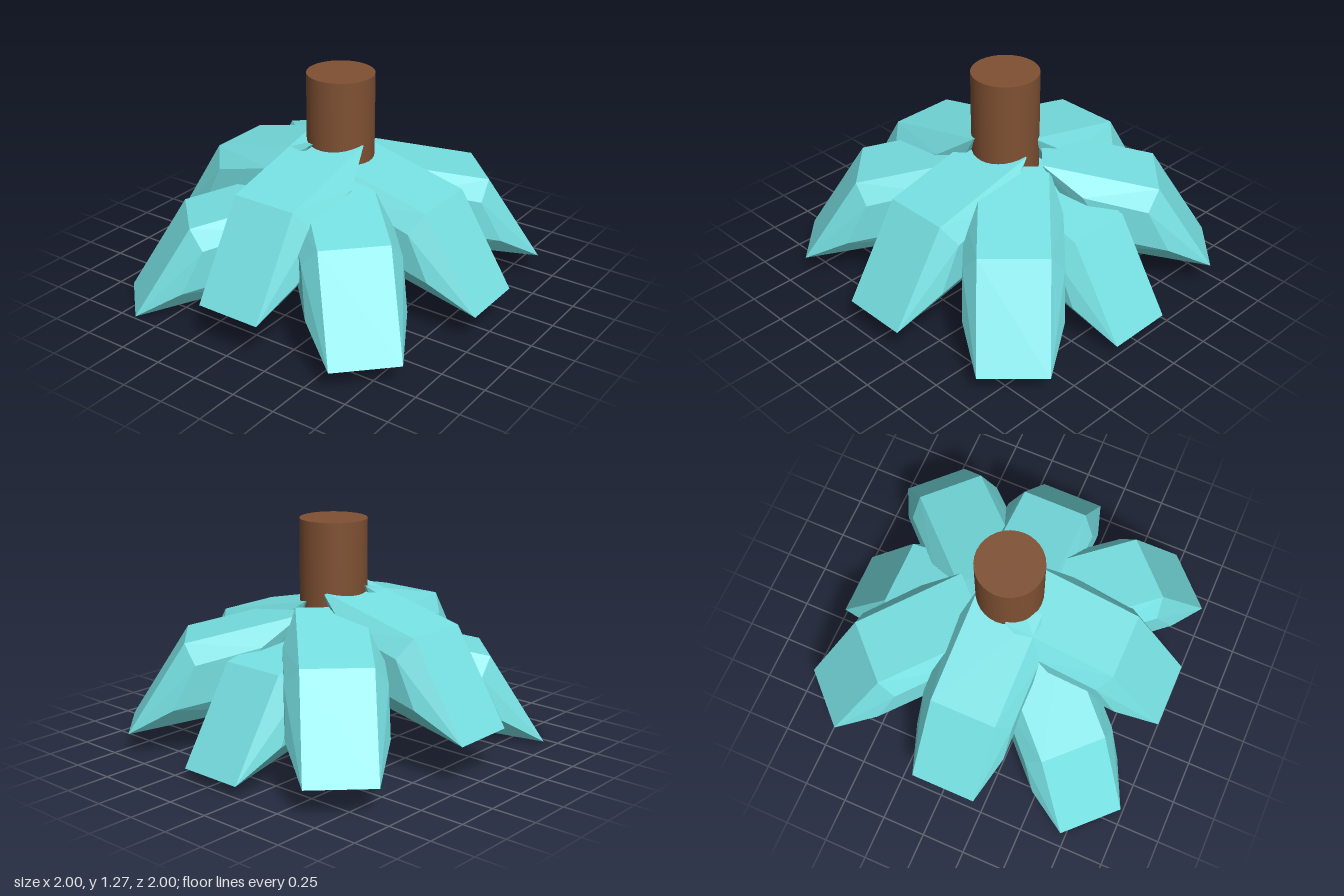
import * as THREE from 'three';
import { ConvexGeometry } from 'three/addons/geometries/ConvexGeometry.js';

// Side profiles of a petal, measured from its tip: [outward, up]
const OUTER = [[0, 0], [-0.32, 0.51], [-0.955, 0.66], [-0.67, 0.14]];
const INSET = [[-0.255, 0.155], [-0.38, 0.405], [-0.735, 0.5], [-0.6, 0.24]];

// Faceted petal block: full profile near the middle, inset profile on the bulging sides
function petalGeometry() {
  const points = [];
  for (const side of [-1, 1]) {
    for (const [r, y] of OUTER) points.push(new THREE.Vector3(r, y, side * 0.188));
    for (const [r, y] of INSET) points.push(new THREE.Vector3(r, y, side * 0.263));
  }
  return new ConvexGeometry(points);
}

// Tip position of each petal and its direction in eighths of a turn
const PETALS = [
  [1, 0.06, -0.02, 0],
  [0.845, 0.125, 0.785, 1],
  [0.015, 0.17, 1, 2],
  [-0.85, 0.125, 0.77, 3],
  [-1, 0.245, 0.015, 4],
  [-0.852, 0, -0.795, 5],
  [-0.02, 0.235, -1, 6],
  [0.845, 0.155, -0.78, 7],
];

export function createModel() {
  const model = new THREE.Group();

  // Trunk
  const trunk = new THREE.Mesh(
    new THREE.CylinderGeometry(0.187, 0.187, 0.91, 32),
    new THREE.MeshStandardMaterial({ color: 0x7f5033 })
  );
  trunk.name = 'trunk';
  trunk.position.set(0.008, 0.815, 0.015);
  model.add(trunk);

  // Ring of petals
  const geometry = petalGeometry();
  const material = new THREE.MeshStandardMaterial({ color: 0x76dfe1, flatShading: true });
  const petals = new THREE.Group();
  petals.name = 'petals';
  PETALS.forEach(([x, y, z, turn], i) => {
    const petal = new THREE.Mesh(geometry, material);
    petal.name = `petal${i + 1}`;
    petal.position.set(x, y, z);
    petal.rotation.y = -turn * Math.PI / 4;
    petals.add(petal);
  });
  model.add(petals);

  return model;
}
